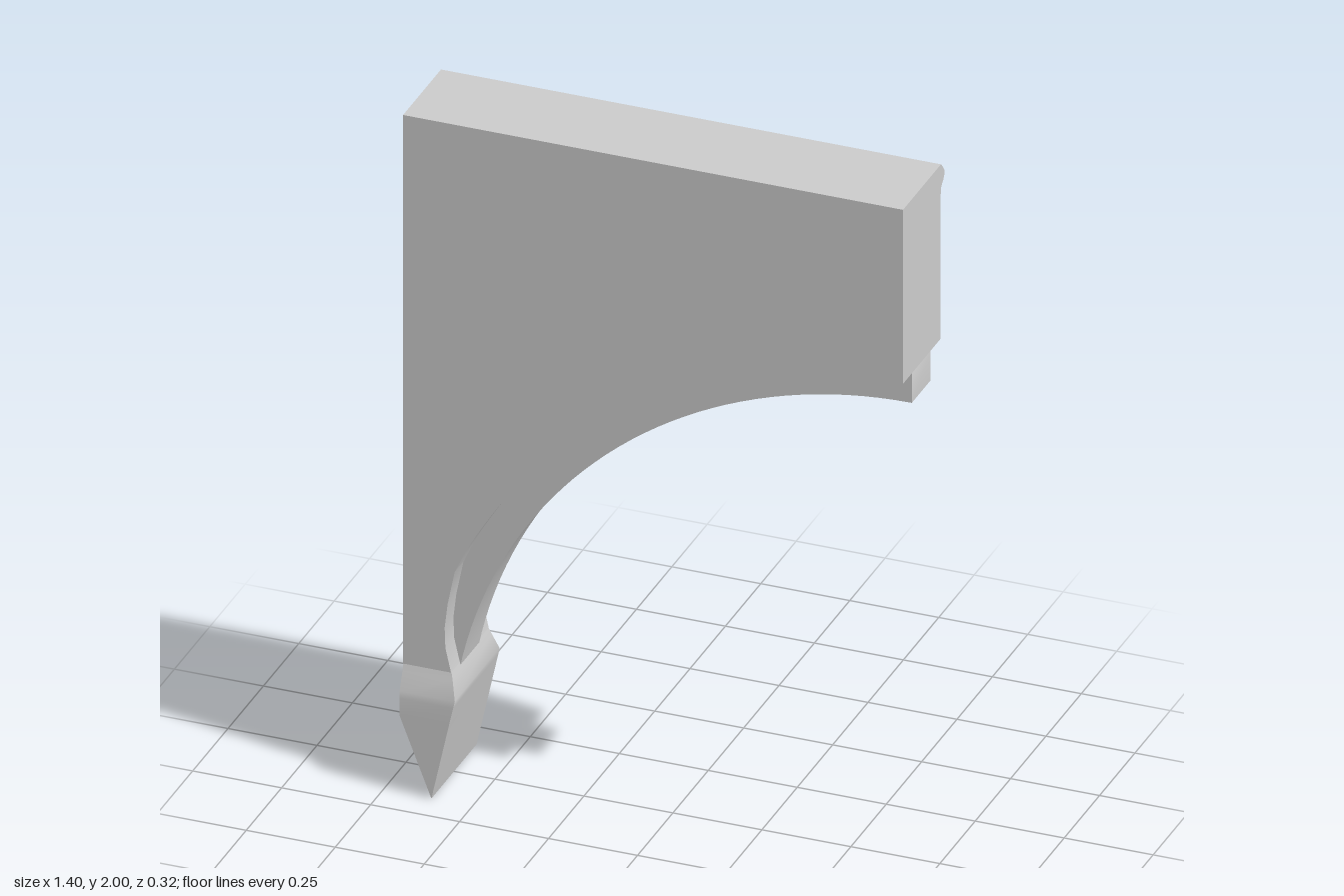
import * as THREE from 'three';
import { toCreasedNormals } from 'three/addons/utils/BufferGeometryUtils.js';

const material = new THREE.MeshStandardMaterial({ color: 0xcccccc });
const LEFT = -0.705, RIGHT = 0.7, NECK = 0.37;
const v2 = (x, y) => new THREE.Vector2(x, y);

function part(name, geometry) {
  const mesh = new THREE.Mesh(toCreasedNormals(geometry, 0.5), material);
  mesh.name = name;
  return mesh;
}

// Flat outline in x and y, thickened between two z values
function slab(points, zBack, zFront) {
  return new THREE.ExtrudeGeometry(new THREE.Shape(points), { depth: zFront - zBack, bevelEnabled: false })
    .translate(0, 0, zBack);
}

// Loft of rectangular rings, listed from top to bottom: [y, xLeft, xRight, halfDepth]
function loftRings(rings) {
  const corners = rings.map(([y, a, b, d]) => [[a, y, d], [b, y, d], [b, y, -d], [a, y, -d]]);
  const pos = [];
  for (let i = 0; i < rings.length - 1; i++) {
    const up = corners[i], low = corners[i + 1];
    for (let j = 0; j < 4; j++) {
      const k = (j + 1) % 4;
      pos.push(...low[j], ...up[k], ...up[j]);
      // the last ring closes to an edge, so its long sides are triangles
      const closed = low[j].every((c, n) => c === low[k][n]);
      if (!closed) pos.push(...low[j], ...low[k], ...up[k]);
    }
  }
  const geometry = new THREE.BufferGeometry();
  geometry.setAttribute('position', new THREE.Float32BufferAttribute(pos, 3));
  return geometry;
}

export function createModel() {
  const group = new THREE.Group();
  group.name = 'archBracket';

  // Spandrel panel with its curved lower edge
  const sweep = new THREE.SplineCurve([
    v2(0.48, 1.465), v2(0.2, 1.385), v2(0, 1.29), v2(-0.2, 1.145),
    v2(-0.38, 0.965), v2(-0.5, 0.79), v2(-0.56, 0.67),
  ]).getPoints(30);
  group.add(part('spandrelPanel', slab([
    v2(LEFT, NECK), v2(LEFT, 2), v2(RIGHT, 2), v2(RIGHT, 1.483), ...sweep,
    v2(-0.58, 0.57), v2(-0.588, 0.5), v2(-0.586, 0.44), v2(-0.57, NECK),
  ], -0.132, 0.134)));

  // Narrow rib following a circular arc under the panel
  const cx = 0.7, cy = 0.1, r = 1.295;
  const end = Math.PI - Math.asin((NECK - 0.02 - cy) / r);
  const arc = [];
  for (let i = 0; i <= 40; i++) {
    const t = Math.PI / 2 + (end - Math.PI / 2) * i / 40;
    arc.push(v2(cx + r * Math.cos(t), cy + r * Math.sin(t)));
  }
  group.add(part('archRib', slab([
    ...arc, v2(-0.64, 0.35), v2(-0.64, 0.7), v2(-0.3, 1.25), v2(0.3, 1.55), v2(0.68, 1.55), v2(RIGHT, 1.483),
  ], -0.061, 0.072)));

  // Flared foot ending in a wedge
  group.add(part('foot', loftRings([
    [NECK, LEFT, -0.57, 0.131],
    [0.35, LEFT, -0.564, 0.138],
    [0.30, LEFT, -0.55, 0.158],
    [0.28, LEFT, -0.554, 0.16],
    [0.23, LEFT, -0.565, 0.16],
    [0, -0.615, -0.615, 0.16],
  ])));

  // Rounded moulding along the top of the back
  const nose = new THREE.SplineCurve([
    v2(0.134, 2), v2(0.148, 1.985), v2(0.16, 1.965), v2(0.15, 1.946), v2(0.136, 1.932), v2(0.132, 1.91),
  ]).getPoints(20);
  const moulding = slab([v2(0.1, 1.91), v2(0.1, 2), ...nose], LEFT, RIGHT).rotateY(Math.PI / 2);
  group.add(part('topMoulding', moulding));

  return group;
}
